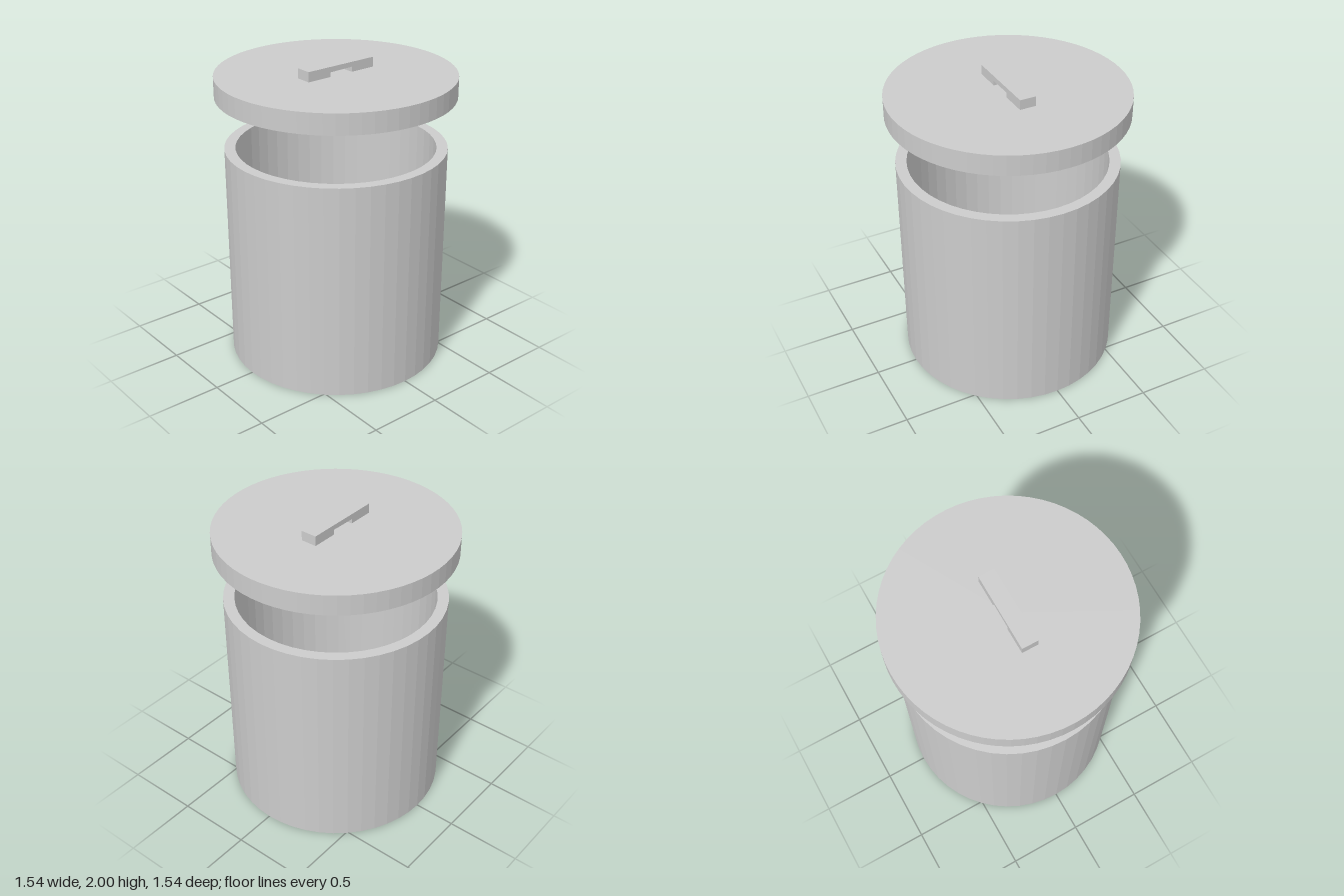
import * as THREE from 'three';

const material = new THREE.MeshStandardMaterial({ color: 0xcccccc, flatShading: true });

function addMesh(parent, name, geometry) {
  const mesh = new THREE.Mesh(geometry, material);
  mesh.name = name;
  parent.add(mesh);
  return mesh;
}

// Solid of revolution from [radius, height] pairs, running from the underside outwards and up
function turned(profile, sides) {
  return new THREE.LatheGeometry(profile.map(([r, y]) => new THREE.Vector2(r, y)), sides);
}

export function createModel() {
  const model = new THREE.Group();
  model.name = 'canister';

  // Thick-walled pot, open at the top
  addMesh(model, 'pot', turned([
    [0, 0], [0.718, 0], [0.722, 1.45], [0.65, 1.45], [0.65, 0.07], [0, 0.07],
  ], 48));

  // Raised lid with a hollow underside and a thin rim
  const lid = new THREE.Group();
  lid.name = 'lid';
  model.add(lid);
  addMesh(lid, 'lidCap', turned([
    [0, 1.9], [0.74, 1.9], [0.74, 1.8], [0.772, 1.8], [0.772, 1.935], [0, 1.935],
  ], 64));

  // Bar handle with a finger notch underneath
  const bar = new THREE.Shape([
    [-0.26, 1.935], [-0.088, 1.935], [-0.088, 1.965], [0.085, 1.968],
    [0.085, 1.935], [0.26, 1.935], [0.26, 2], [-0.26, 2],
  ].map(([x, y]) => new THREE.Vector2(x, y)));
  const depth = 0.108;
  const handle = addMesh(lid, 'handle', new THREE.ExtrudeGeometry(bar, { depth, bevelEnabled: false }));
  handle.position.z = -depth / 2;

  return model;
}
